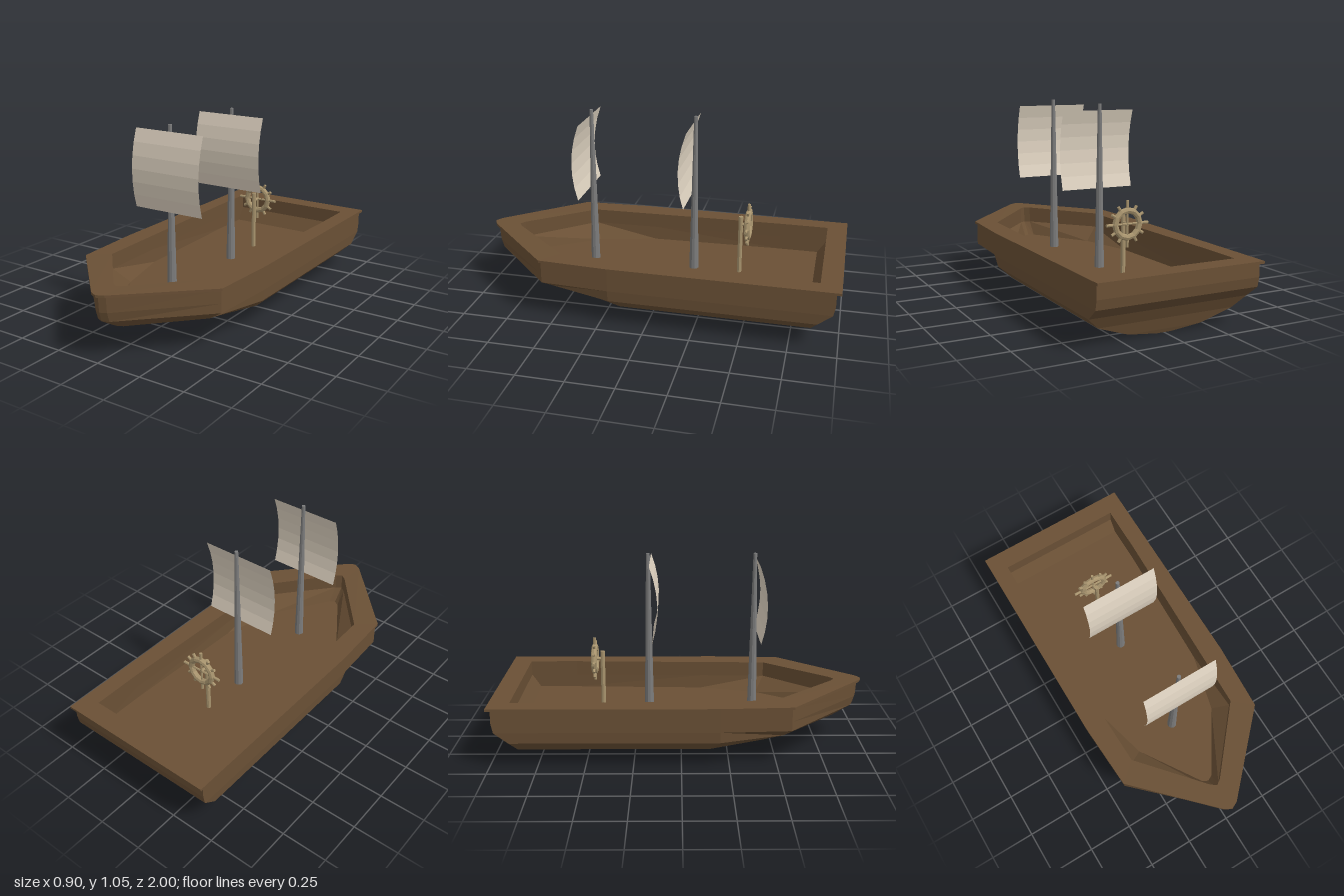
import * as THREE from 'three';

const mat = (color, side = THREE.FrontSide) =>
  new THREE.MeshStandardMaterial({ color, side, flatShading: true });

// The gunwale sweeps up slightly towards the bow.
const rise = (z) => Math.max(0, z - 0.58) * 0.033;

// Mirrors half an outline ([x, z] from stern to bow) into a full ring at height y.
function ring(y, half, sweep = false) {
  const pts = half.map(([x, z]) => new THREE.Vector3(x, y + (sweep ? rise(z) : 0), z));
  const mirrored = pts.slice(0, -1).reverse().map((p) => new THREE.Vector3(-p.x, p.y, p.z));
  return [...pts, ...mirrored];
}

// Skins a list of rings with mirrored diagonals; cap closes 'first' (facing down) or 'last' (facing up).
function loft(rings, cap) {
  const pos = [];
  const tri = (...ps) => ps.forEach((p) => pos.push(p.x, p.y, p.z));
  for (let r = 0; r < rings.length - 1; r++) {
    const lo = rings[r], hi = rings[r + 1], n = lo.length;
    for (let i = 0; i < n; i++) {
      const j = (i + 1) % n;
      if (i < (n - 1) / 2) {
        tri(lo[i], hi[i], lo[j]);
        tri(lo[j], hi[i], hi[j]);
      } else {
        tri(lo[i], hi[i], hi[j]);
        tri(lo[i], hi[j], lo[j]);
      }
    }
  }
  const end = cap === 'first' ? rings[0] : cap === 'last' ? rings[rings.length - 1] : [];
  for (let i = 1; i < end.length - 1; i++) {
    if (cap === 'first') tri(end[0], end[i], end[i + 1]);
    else tri(end[0], end[i + 1], end[i]);
  }
  const g = new THREE.BufferGeometry();
  g.setAttribute('position', new THREE.Float32BufferAttribute(pos, 3));
  g.computeVertexNormals();
  return g;
}

function add(parent, name, geometry, material, x = 0, y = 0, z = 0) {
  const m = new THREE.Mesh(geometry, material);
  m.name = name;
  m.position.set(x, y, z);
  parent.add(m);
  return m;
}

export function createModel() {
  const boat = new THREE.Group();
  boat.name = 'sailingBoat';
  const wood = mat(0x6a5035), iron = mat(0x7c7c7c), tan = mat(0xa8946e);
  const cloth = mat(0xe0d4c2, THREE.DoubleSide);

  // Hull levels: y, half width, stern z, end of straight side z, shoulder x and z, bow z
  const levels = [
    [0, 0.04, -0.83, 0, 0.04, 0.25, 0.4],
    [0.02, 0.2, -0.838, 0.1, 0.15, 0.3, 0.47],
    [0.08, 0.37, -0.857, 0.15, 0.25, 0.43, 0.66],
    [0.14, 0.435, -0.89, 0.2, 0.33, 0.54, 0.86],
    [0.2, 0.44, -0.965, 0.2, 0.42, 0.57, 0.96],
    [0.25, 0.44, -0.975, 0.2, 0.42, 0.57, 0.975],
    [0.32, 0.44, -0.975, 0.2, 0.42, 0.57, 0.98],
  ];
  const hullRings = levels.map(([y, w, stern, side, sx, sz, bow]) =>
    ring(y, [[w, stern], [w, -0.62], [w, side], [sx, sz], [0.035, bow - 0.015], [0, bow]], y > 0.3));
  add(boat, 'hull', loft(hullRings, 'first'), wood);

  // Rail around the top of the hull
  const outer = [[0.45, -1], [0.45, -0.62], [0.45, 0.2], [0.43, 0.58], [0.04, 0.98], [0, 1]];
  const opening = [[0.355, -0.89], [0.355, -0.62], [0.335, 0.12], [0.325, 0.49], [0.03, 0.83], [0, 0.85]];
  const railRings = [
    hullRings[6], ring(0.32, outer, true), ring(0.333, outer, true),
    ring(0.333, opening, true), ring(0.32, opening, true),
  ];
  add(boat, 'rail', loft(railRings), wood);

  // Inner walls and deck floor
  const floor = [[0.355, -0.84], [0.354, -0.62], [0.328, 0.12], [0.245, 0.44], [0.03, 0.77], [0, 0.785]];
  const inner = [railRings[4], ring(0.25, opening), ring(0.175, floor)];
  add(boat, 'deck', loft(inner, 'last'), wood);

  // Masts, each with a sail bulging forward, its foot held clear of the mast
  const sailGeo = new THREE.PlaneGeometry(0.412, 0.415, 1, 6);
  const p = sailGeo.attributes.position;
  for (let i = 0; i < p.count; i++) {
    const t = p.getY(i) / 0.2075;
    p.setZ(i, 0.017 - 0.006 * t + 0.036 * (1 - t * t));
  }
  sailGeo.computeVertexNormals();
  const mastGeo = new THREE.CylinderGeometry(0.01, 0.026, 0.88, 10);
  for (const [label, z] of [['front', 0.397], ['main', -0.177]]) {
    add(boat, label + 'Mast', mastGeo, iron, 0, 0.61, z);
    add(boat, label + 'Sail', sailGeo, cloth, 0, 0.8075, z);
  }

  // Steering wheel on its post
  const helm = new THREE.Group();
  helm.name = 'helm';
  boat.add(helm);
  add(helm, 'post', new THREE.CylinderGeometry(0.0125, 0.0125, 0.335, 8), tan, 0, 0.3375, -0.433);
  const wheel = new THREE.Group();
  wheel.name = 'steeringWheel';
  wheel.position.set(0, 0.461, -0.475);
  helm.add(wheel);
  add(wheel, 'rim', new THREE.TorusGeometry(0.07, 0.0165, 8, 12), tan);
  add(wheel, 'axle', new THREE.CylinderGeometry(0.009, 0.009, 0.05, 8), tan, 0, 0, 0.02)
    .rotation.x = Math.PI / 2;
  for (const angle of [0, Math.PI / 2]) {
    add(wheel, 'spoke', new THREE.CylinderGeometry(0.006, 0.006, 0.14, 6), tan).rotation.z = angle;
  }
  for (let i = 0; i < 12; i++) {
    const a = (i * Math.PI) / 6, tip = i % 3 === 0 ? 0.12 : 0.104;
    const mid = (0.07 + tip) / 2;
    add(wheel, 'handle', new THREE.CylinderGeometry(0.008, 0.008, tip - 0.07, 8), tan,
      Math.cos(a) * mid, Math.sin(a) * mid, 0).rotation.z = a - Math.PI / 2;
  }
  return boat;
}
